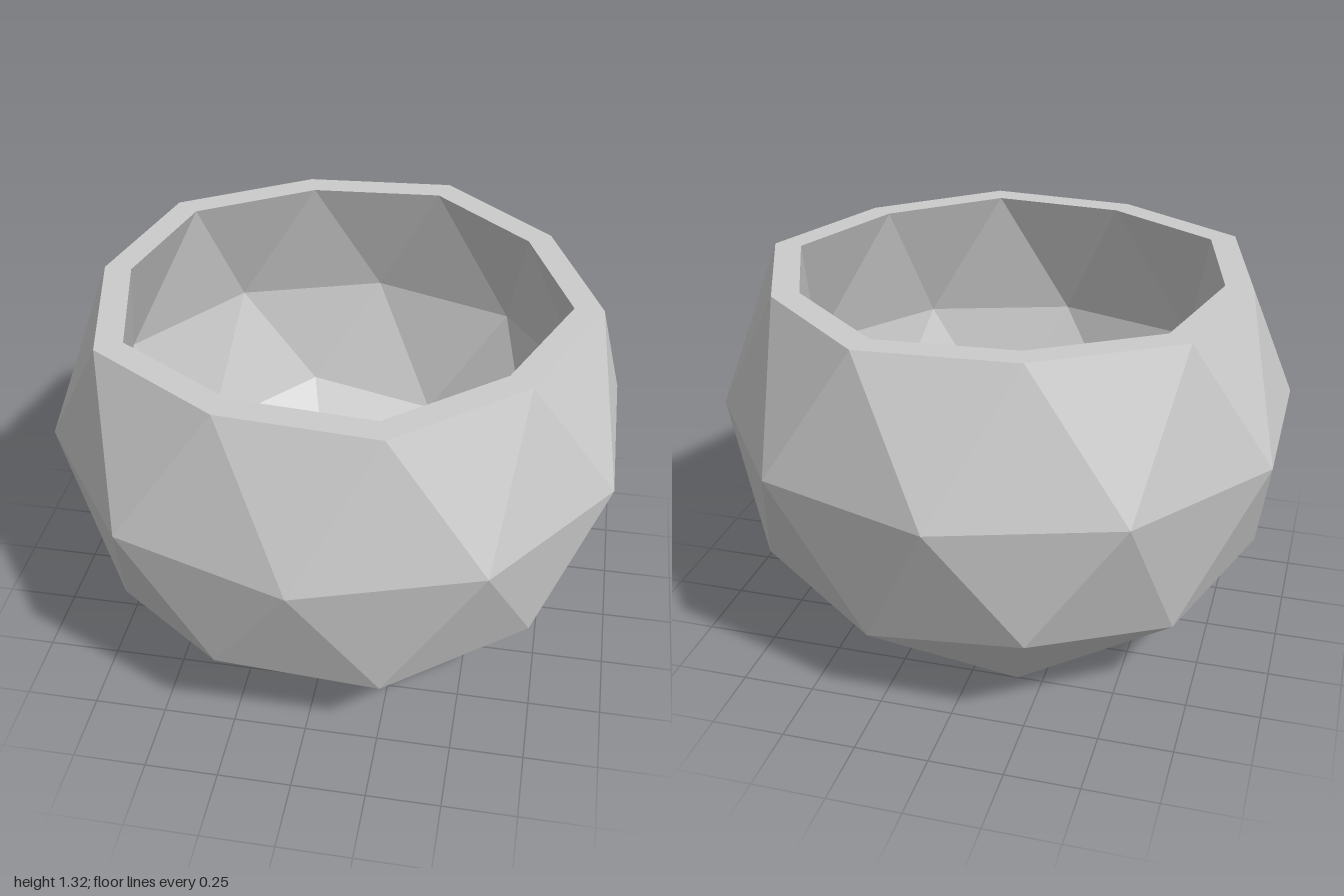
import * as THREE from 'three';

const CENTRE = 0.833; // height of the widest ring
const INNER = 0.887; // inner shell scale about the sphere centre
const RIM = 1.32;

// Ring of points; radius and height alternate between even and odd corners.
function ring(count, startDeg, evenR, oddR, evenY, oddY) {
  return Array.from({ length: count }, (_, i) => {
    const a = THREE.MathUtils.degToRad(startDeg + (i * 360) / count);
    const r = i % 2 ? oddR : evenR;
    return new THREE.Vector3(r * Math.cos(a), i % 2 ? oddY : evenY, r * Math.sin(a));
  });
}

// Geodesic sphere rings, scaled about the centre, with flattened foot and rim.
function shellRings(s) {
  const y = (h) => CENTRE + h * s;
  return {
    foot: ring(5, 36, 0.526 * s, 0.526 * s, y(-CENTRE), y(-CENTRE)),
    low: ring(10, 0, 0.851 * s, 0.894 * s, y(-0.526), y(-0.447)),
    mid: ring(10, 18, s, s, CENTRE, CENTRE),
    top: ring(10, 0, 0.859 * s, 0.818 * s, RIM, RIM),
  };
}

// Triangles of the geodesic wall between foot and rim.
function shellTriangles({ foot, low, mid, top }) {
  const tris = [];
  for (let i = 0; i < 5; i++) {
    const k = 2 * i + 1;
    const f = foot[i], g = foot[(i + 1) % 5];
    const a = low[k], b = low[(k + 1) % 10], c = low[(k + 2) % 10];
    tris.push([f, a, b], [f, b, g], [g, b, c]);
  }
  for (let k = 0; k < 10; k++) {
    const n = (k + 1) % 10;
    tris.push([low[k], mid[k], low[n]], [mid[k], mid[n], low[n]]);
    tris.push([mid[k], top[n], mid[n]], [top[k], top[n], mid[k]]);
  }
  return tris;
}

// Band of quads joining two rings with equal corner counts.
function band(from, to) {
  return from.flatMap((p, i) => {
    const n = (i + 1) % from.length;
    return [[p, to[i], to[n]], [p, to[n], from[n]]];
  });
}

export function createModel() {
  const group = new THREE.Group();
  group.name = 'geodesicPlanter';
  const material = new THREE.MeshStandardMaterial({ color: 0xcccccc, flatShading: true });

  const add = (name, tris) => {
    const geometry = new THREE.BufferGeometry().setFromPoints(tris.flat());
    geometry.computeVertexNormals();
    const mesh = new THREE.Mesh(geometry, material);
    mesh.name = name;
    group.add(mesh);
  };

  const outer = shellRings(1);
  const inner = shellRings(INNER);
  const floorY = inner.foot[0].y;
  const holeBottom = ring(5, 36, 0.08, 0.08, 0, 0);
  const holeTop = ring(5, 36, 0.08, 0.08, floorY, floorY);

  // Walls: the inner one is wound to face the cavity
  add('outerWall', shellTriangles(outer));
  add('innerWall', shellTriangles(inner).map(([a, b, c]) => [a, c, b]));
  add('rim', band(outer.top, inner.top));

  // Flat base and floor pierced by a pentagonal drain hole
  add('base', band(holeBottom, outer.foot));
  add('floor', band(inner.foot, holeTop));
  add('drainHole', band(holeTop, holeBottom));

  return group;
}
